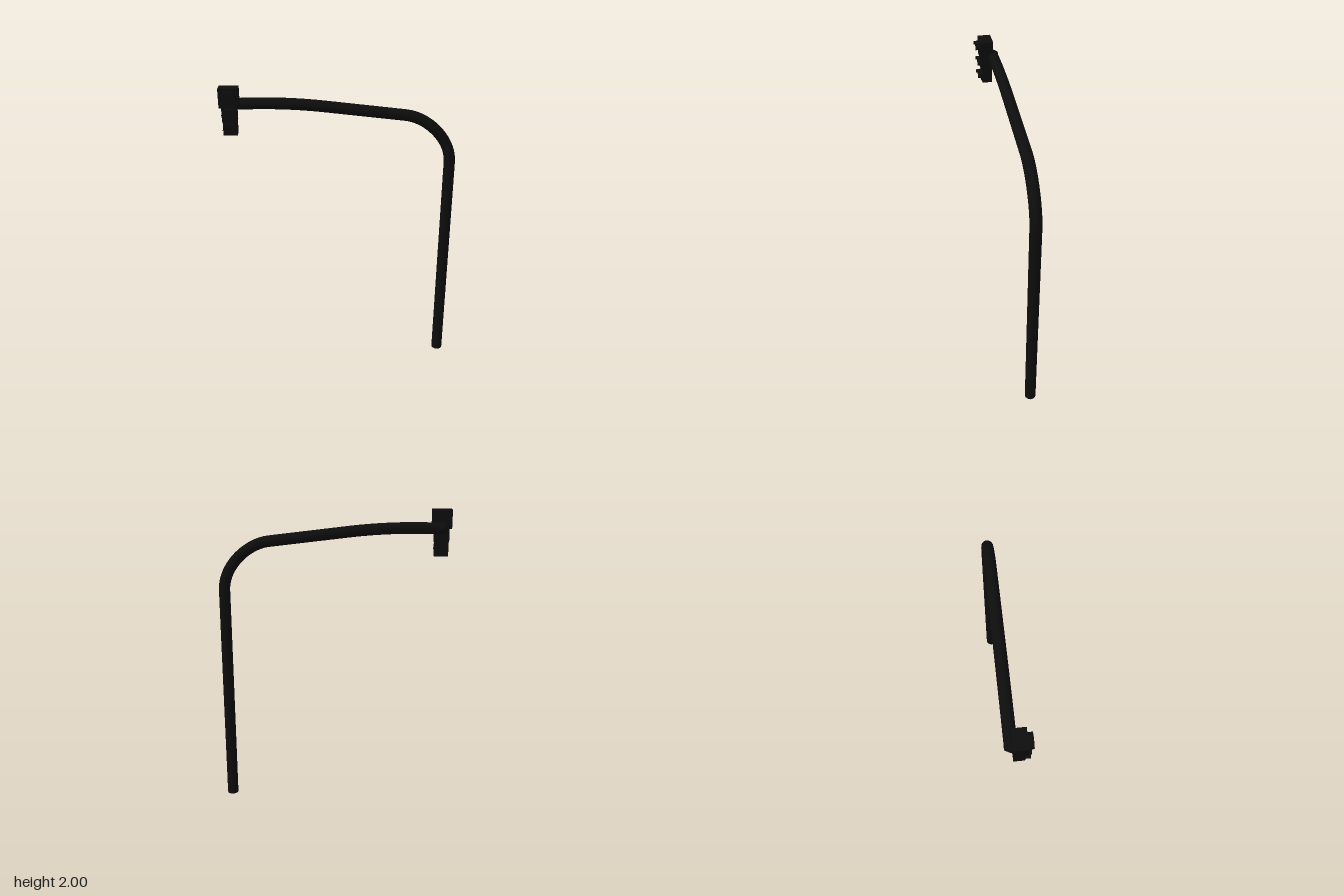
import * as THREE from 'three';

export function createModel() {
  const model = new THREE.Group();
  model.name = 'trafficSignal';
  const black = new THREE.MeshStandardMaterial({ name: 'black paint', color: 0x0d0d0d });
  const blackSheet = new THREE.MeshStandardMaterial({ name: 'black sheet', color: 0x0d0d0d, side: THREE.DoubleSide });
  const add = (name, geometry, x, y, z, parent = model, material = black) => {
    const mesh = new THREE.Mesh(geometry, material);
    mesh.name = name;
    mesh.position.set(x, y, z);
    parent.add(mesh);
    return mesh;
  };

  const R = 0.037, Z = -0.041, SX = -0.7;
  const p = (x, y) => new THREE.Vector3(x, y, Z);

  // Upright post with a flat foot
  add('post', new THREE.CylinderGeometry(R, R, 1.47, 18), 0.722, 0.735, Z);

  // Bent arm: shoulder, straight run, gentle levelling towards the signal
  const bend = new THREE.CubicBezierCurve3(p(0.722, 1.47), p(0.722, 1.63), p(0.565, 1.777), p(0.42, 1.795));
  const run = new THREE.LineCurve3(p(0.42, 1.795), p(-0.1, 1.858));
  const reach = new THREE.QuadraticBezierCurve3(p(-0.1, 1.858), p(-0.4, 1.894), p(SX, 1.88));
  const path = new THREE.CurvePath();
  [bend, run, reach].forEach((c) => path.add(c));
  add('arm', new THREE.TubeGeometry(path, 64, R, 18), 0, 0, 0);

  // Elbow turning forward into the signal housing
  const elbow = new THREE.LatheGeometry(
    [[0, -0.037], [0.02, -0.037], [R, -0.006], [R, 0.04], [0, 0.04]].map(([r, y]) => new THREE.Vector2(r, y)), 18);
  add('elbow', elbow.rotateX(Math.PI / 2), SX, 1.88, Z);

  // Signal: three stacked housings, each with a lens and a hood
  const signal = new THREE.Group();
  signal.name = 'signalHead';
  signal.position.x = SX;
  model.add(signal);
  const sections = [
    // bottom, top, width, back, front, hood centre, hood tip
    ['upper', 1.877, 2.0, 0.124, -0.037, 0.049, 1.945, 0.08],
    ['middle', 1.79, 1.877, 0.095, -0.03, 0.042, 1.833, 0.07],
    ['lower', 1.7, 1.79, 0.089, -0.03, 0.037, 1.738, 0.068],
  ];
  for (const [name, y0, y1, w, z0, z1, hoodY, tip] of sections) {
    add(name + 'Housing', new THREE.BoxGeometry(w, y1 - y0, z1 - z0), 0, (y0 + y1) / 2, (z0 + z1) / 2, signal);
    const r = Math.min(0.047, w / 2);
    const lens = new THREE.CylinderGeometry(0.036, 0.036, 0.008, 20).rotateX(Math.PI / 2);
    add(name + 'Lens', lens, 0, hoodY, z1, signal);
    const hood = new THREE.CylinderGeometry(r, r, tip - z1, 16, 1, true, Math.PI / 2, Math.PI).rotateX(Math.PI / 2);
    hood.scale(1, 0.042 / r, 1);
    add(name + 'Hood', hood, 0, hoodY, (z1 + tip) / 2, signal, blackSheet);
  }
  return model;
}
